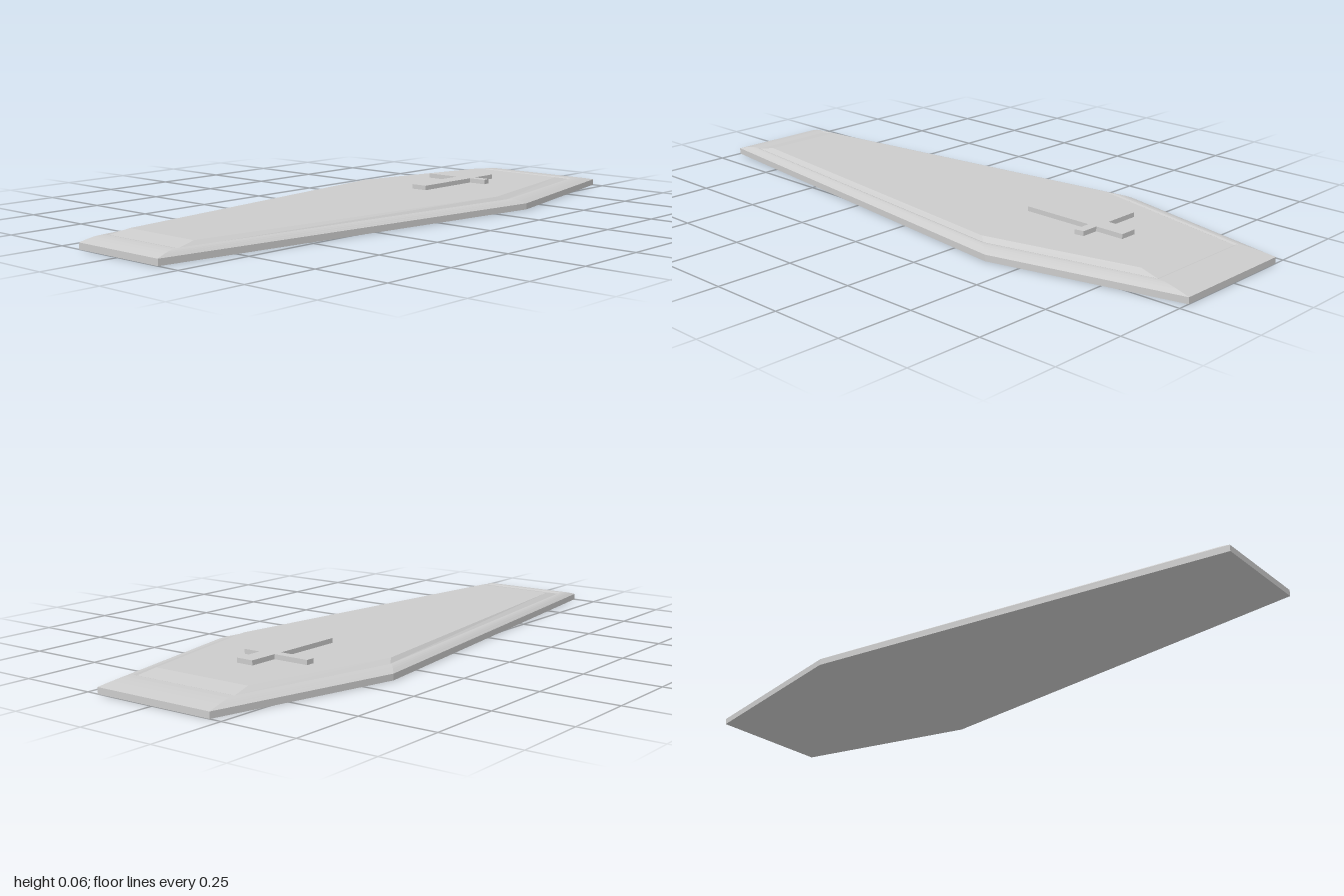
import * as THREE from 'three';

const material = new THREE.MeshStandardMaterial({ color: 0xcccccc, flatShading: true });

// Six-sided outline: half widths and z at the head, shoulders and foot
const outer = { head: [0.21, -1], shoulder: [0.352, -0.39], foot: [0.17, 1] };
const rim = { head: [0.19, -0.885], shoulder: [0.312, -0.345], foot: [0.153, 0.925] };
const groove = { head: [0.184, -0.876], shoulder: [0.303, -0.34], foot: [0.148, 0.912] };
const panel = { head: [0.174, -0.812], shoulder: [0.288, -0.315], foot: [0.138, 0.848] };

function ring(o, y) {
  const half = [o.head, o.shoulder, o.foot];
  return [
    ...half.map(([x, z]) => [-x, y, z]),
    ...half.slice().reverse().map(([x, z]) => [x, y, z]),
  ];
}

function blend(a, b, t) {
  const mix = (k) => a[k].map((v, i) => v + (b[k][i] - v) * t);
  return { head: mix('head'), shoulder: mix('shoulder'), foot: mix('foot') };
}

// Joins the rings from bottom to top and caps both ends
function loft(rings) {
  const pos = [];
  const tri = (a, b, c) => pos.push(...a, ...b, ...c);
  for (let r = 0; r < rings.length - 1; r++) {
    const a = rings[r], b = rings[r + 1];
    for (let i = 0; i < 6; i++) {
      const j = (i + 1) % 6;
      tri(a[i], a[j], b[j]);
      tri(a[i], b[j], b[i]);
    }
  }
  const low = rings[0], high = rings[rings.length - 1];
  for (let i = 1; i < 5; i++) {
    tri(low[0], low[i + 1], low[i]);
    tri(high[0], high[i], high[i + 1]);
  }
  const geo = new THREE.BufferGeometry();
  geo.setAttribute('position', new THREE.Float32BufferAttribute(pos, 3));
  geo.computeVertexNormals();
  return geo;
}

export function createModel() {
  const group = new THREE.Group();
  group.name = 'coffinLid';

  // Lid: straight edge, rounded border, narrow groove, bevelled raised panel
  const rings = [ring(outer, 0)];
  const steps = 5;
  for (let i = 0; i <= steps; i++) {
    const t = i / steps;
    rings.push(ring(blend(outer, rim, t), 0.02 + 0.015 * Math.sin(t * Math.PI / 2)));
  }
  rings.push(ring(groove, 0.032), ring(panel, 0.044));
  const lid = new THREE.Mesh(loft(rings), material);
  lid.name = 'lid';
  group.add(lid);

  // Cross lying on the panel towards the head
  const outline = [
    [-0.03, 0.265], [0.028, 0.265], [0.028, 0.505], [0.091, 0.505], [0.086, 0.535], [0.028, 0.535],
    [0.028, 0.632], [-0.03, 0.632], [-0.03, 0.535], [-0.152, 0.535], [-0.152, 0.505], [-0.03, 0.505],
  ];
  const shape = new THREE.Shape(outline.map(([x, y]) => new THREE.Vector2(x, y)));
  const crossGeo = new THREE.ExtrudeGeometry(shape, { depth: 0.017, bevelEnabled: false });
  crossGeo.rotateX(-Math.PI / 2);
  const cross = new THREE.Mesh(crossGeo, material);
  cross.name = 'cross';
  cross.position.y = 0.042;
  group.add(cross);

  return group;
}
